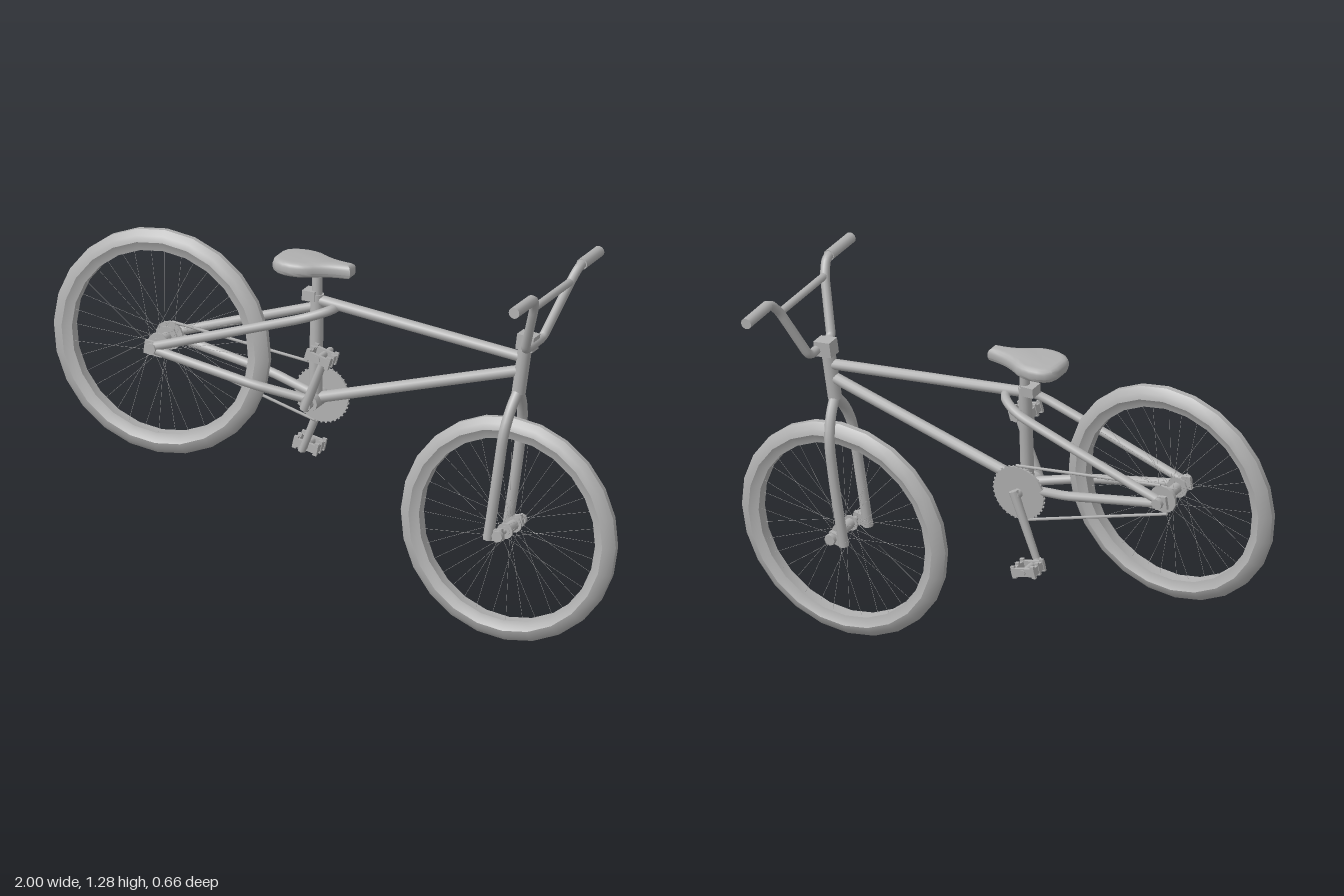
import * as THREE from 'three';
import { toCreasedNormals } from 'three/addons/utils/BufferGeometryUtils.js';

const grey = new THREE.MeshStandardMaterial({ color: 0xb0b0b0 });
grey.name = 'grey';
const V = (x, y, z) => new THREE.Vector3(x, y, z);

function add(parent, name, geometry) {
  const m = new THREE.Mesh(geometry, grey);
  m.name = name;
  parent.add(m);
  return m;
}

// Straight round bar between two points
function bar(parent, name, a, b, r0, r1 = r0, sides = 12) {
  const dir = b.clone().sub(a);
  const m = add(parent, name, new THREE.CylinderGeometry(r1, r0, dir.length(), sides));
  m.position.copy(a).addScaledVector(dir, 0.5);
  m.quaternion.setFromUnitVectors(V(0, 1, 0), dir.normalize());
  return m;
}

// Tube of straight runs joined by rounded bends
function bent(parent, name, pts, r, bend = 0.03, segs = 60) {
  const path = new THREE.CurvePath();
  let from = pts[0];
  for (let i = 1; i < pts.length - 1; i++) {
    const p = pts[i];
    const toward = q => p.clone().lerp(q, Math.min(0.45, bend / p.distanceTo(q)));
    const enter = toward(pts[i - 1]), leave = toward(pts[i + 1]);
    path.add(new THREE.LineCurve3(from, enter));
    path.add(new THREE.QuadraticBezierCurve3(enter, p, leave));
    from = leave;
  }
  path.add(new THREE.LineCurve3(from, pts[pts.length - 1]));
  return add(parent, name, new THREE.TubeGeometry(path, segs, r, 10));
}

function box(parent, name, w, h, d, x, y, z, tilt = 0) {
  const m = add(parent, name, new THREE.BoxGeometry(w, h, d));
  m.position.set(x, y, z);
  m.rotation.z = tilt;
  return m;
}

function wheel(parent, name, x, y, hubRadius) {
  const g = new THREE.Group();
  g.name = name;
  g.position.set(x, y, 0);
  parent.add(g);
  // Tyre and rim in one closed section
  const section = [[0.311, -0.02], [0.326, -0.024], [0.342, -0.033], [0.362, -0.027], [0.38, -0.009],
    [0.38, 0.009], [0.362, 0.027], [0.342, 0.033], [0.326, 0.024], [0.311, 0.02], [0.311, -0.02]];
  const tyre = new THREE.LatheGeometry(section.map(([r, h]) => new THREE.Vector2(r, h)), 24);
  add(g, 'tyreAndRim', toCreasedNormals(tyre.rotateX(Math.PI / 2), 0.7));
  // Hub, axle and nuts
  bar(g, 'hub', V(0, 0, -0.04), V(0, 0, 0.04), 0.018);
  bar(g, 'axle', V(0, 0, -0.1), V(0, 0, 0.1), 0.008);
  for (const s of [-1, 1]) {
    bar(g, 'flange', V(0, 0, s * 0.032), V(0, 0, s * 0.038), hubRadius, hubRadius, 14);
    bar(g, 'axleNut', V(0, 0, s * 0.085), V(0, 0, s * 0.1), 0.019, 0.019, 8);
    // Crossed spokes
    for (let i = 0; i < 18; i++) {
      const a = (i + (s > 0 ? 0.5 : 0)) / 18 * Math.PI * 2;
      const b = a + (i % 2 ? 0.8 : -0.8);
      bar(g, 'spoke', V(Math.cos(b) * hubRadius * 0.85, Math.sin(b) * hubRadius * 0.85, s * 0.035),
        V(Math.cos(a) * 0.314, Math.sin(a) * 0.314, s * 0.006), 0.0006, 0.0006, 3);
    }
  }
}

function pedal(parent, x, y, z, tilt, s) {
  const g = new THREE.Group();
  g.name = 'pedal';
  g.position.set(x, y, z);
  g.rotation.z = tilt;
  parent.add(g);
  bar(g, 'pedalAxle', V(0, 0, -s * 0.03), V(0, 0, s * 0.08), 0.011, 0.011, 8);
  for (const d of [0.01, 0.07]) box(g, 'pedalPlate', 0.088, 0.028, 0.012, 0, 0, s * d);
  for (const e of [-1, 1]) {
    box(g, 'pedalTread', 0.012, 0.026, 0.06, e * 0.036, 0, s * 0.04);
    for (const d of [0.01, 0.04, 0.07]) box(g, 'pedalTooth', 0.014, 0.042, 0.01, e * 0.037, 0, s * d);
  }
}

export function createModel() {
  const root = new THREE.Group();
  root.name = 'bicycle';
  const bike = new THREE.Group();
  bike.name = 'leaningBicycle';
  bike.rotation.set(-0.071, 0.02, 0);
  bike.position.z = 0.102;
  root.add(bike);

  wheel(bike, 'frontWheel', 0.619, 0.383, 0.027);
  wheel(bike, 'rearWheel', -0.62, 0.805, 0.036);

  // Main frame
  bar(bike, 'topTube', V(-0.07, 1.04, 0), V(0.64, 0.973, 0), 0.018);
  bar(bike, 'downTube', V(-0.077, 0.705, 0), V(0.635, 0.925, 0), 0.019);
  bar(bike, 'seatTube', V(-0.077, 0.7, 0), V(-0.082, 1.06, 0), 0.022);
  bar(bike, 'seatPost', V(-0.082, 1.04, 0), V(-0.084, 1.15, 0), 0.017);
  box(bike, 'seatPostClamp', 0.045, 0.034, 0.05, -0.103, 1.055, 0);
  bar(bike, 'headTube', V(0.657, 1.04, 0), V(0.636, 0.85, 0), 0.023);
  bar(bike, 'bottomBracket', V(-0.077, 0.7, -0.05), V(-0.077, 0.7, 0.05), 0.028);

  // Paired rear stays and dropouts
  const stay = s => [V(-0.61, 0.812, s * 0.078), V(-0.35, 0.905, s * 0.079), V(-0.09, 0.998, s * 0.074),
    V(-0.015, 1.025, s * 0.03)];
  bent(bike, 'seatStays', [...stay(1), ...stay(-1).reverse()], 0.0155, 0.05, 80);
  for (const s of [-1, 1]) {
    bent(bike, 'chainStay', [V(-0.61, 0.797, s * 0.076), V(-0.26, 0.737, s * 0.068),
      V(-0.14, 0.715, s * 0.04), V(-0.08, 0.704, s * 0.026)], 0.0155);
    box(bike, 'rearDropout', 0.065, 0.045, 0.012, -0.615, 0.803, s * 0.078, -0.1);
    // Fork legs
    bent(bike, 'forkLeg', [V(0.58, 0.37, s * 0.077), V(0.605, 0.58, s * 0.078), V(0.62, 0.73, s * 0.075),
      V(0.629, 0.805, s * 0.045), V(0.636, 0.86, 0)], 0.0175, 0.05, 40);
    bar(bike, 'forkFoot', V(0.579, 0.362, s * 0.077), V(0.581, 0.38, s * 0.077), 0.0175);
    box(bike, 'frontDropout', 0.06, 0.038, 0.014, 0.602, 0.381, s * 0.077, 0.2);
  }

  // Chainring, sprocket and chain
  const ringZ = -0.055;
  bar(bike, 'chainring', V(-0.077, 0.7, ringZ - 0.004), V(-0.077, 0.7, ringZ + 0.004), 0.093, 0.093, 32);
  for (let i = 0; i < 36; i++) {
    const a = i / 36 * Math.PI * 2;
    box(bike, 'chainringTooth', 0.008, 0.005, 0.005, -0.077 + Math.cos(a) * 0.093, 0.7 + Math.sin(a) * 0.093, ringZ, a);
  }
  bar(bike, 'sprocket', V(-0.62, 0.805, ringZ - 0.004), V(-0.62, 0.805, ringZ + 0.004), 0.048, 0.048, 14);
  bar(bike, 'upperChain', V(-0.612, 0.852, ringZ), V(-0.07, 0.797, ringZ), 0.005, 0.005, 6);
  bar(bike, 'lowerChain', V(-0.632, 0.753, ringZ), V(-0.1, 0.607, ringZ), 0.005, 0.005, 6);

  // Cranks and pedals
  bar(bike, 'crankAxle', V(-0.077, 0.7, -0.085), V(-0.077, 0.7, 0.075), 0.016);
  bar(bike, 'leftCrank', V(-0.085, 0.685, 0.068), V(-0.006, 0.9, 0.075), 0.016, 0.012, 10);
  bar(bike, 'rightCrank', V(-0.07, 0.715, -0.078), V(-0.156, 0.482, -0.088), 0.016, 0.012, 10);
  pedal(bike, -0.006, 0.898, 0.083, -0.25, 1);
  pedal(bike, -0.158, 0.488, -0.11, -0.2, -1);

  // Saddle: wide at the back, narrow nose, rounded over
  const outline = new THREE.Shape();
  outline.moveTo(0.03, 0.014);
  outline.bezierCurveTo(-0.03, 0.02, -0.06, 0.035, -0.1, 0.062);
  outline.bezierCurveTo(-0.14, 0.08, -0.215, 0.075, -0.217, 0.025);
  outline.lineTo(-0.217, -0.025);
  outline.bezierCurveTo(-0.215, -0.075, -0.14, -0.08, -0.1, -0.062);
  outline.bezierCurveTo(-0.06, -0.035, -0.03, -0.02, 0.03, -0.014);
  const saddle = add(bike, 'saddle', toCreasedNormals(new THREE.ExtrudeGeometry(outline, {
    depth: 0.016, bevelThickness: 0.017, bevelSize: 0.02, bevelOffset: -0.01, bevelSegments: 3, curveSegments: 6,
  }).rotateX(-Math.PI / 2), 0.7));
  saddle.position.y = 1.148;
  saddle.rotation.z = 0.02;
  box(bike, 'saddleClamp', 0.06, 0.02, 0.04, -0.09, 1.133, 0);

  // Stem and handlebar
  box(bike, 'stem', 0.06, 0.052, 0.05, 0.662, 1.03, 0, -0.1);
  const side = s => [V(0.756, 1.248, s * 0.325), V(0.757, 1.248, s * 0.178), V(0.744, 1.205, s * 0.143),
    V(0.684, 1.025, s * 0.07)];
  bent(bike, 'handlebar', [...side(1), ...side(-1).reverse()], 0.0155, 0.022, 100);
  bar(bike, 'crossbar', V(0.743, 1.203, -0.142), V(0.743, 1.203, 0.142), 0.013);
  for (const s of [-1, 1])
    bar(bike, 'grip', V(0.757, 1.248, s * 0.195), V(0.756, 1.248, s * 0.332), 0.019);

  return root;
}
